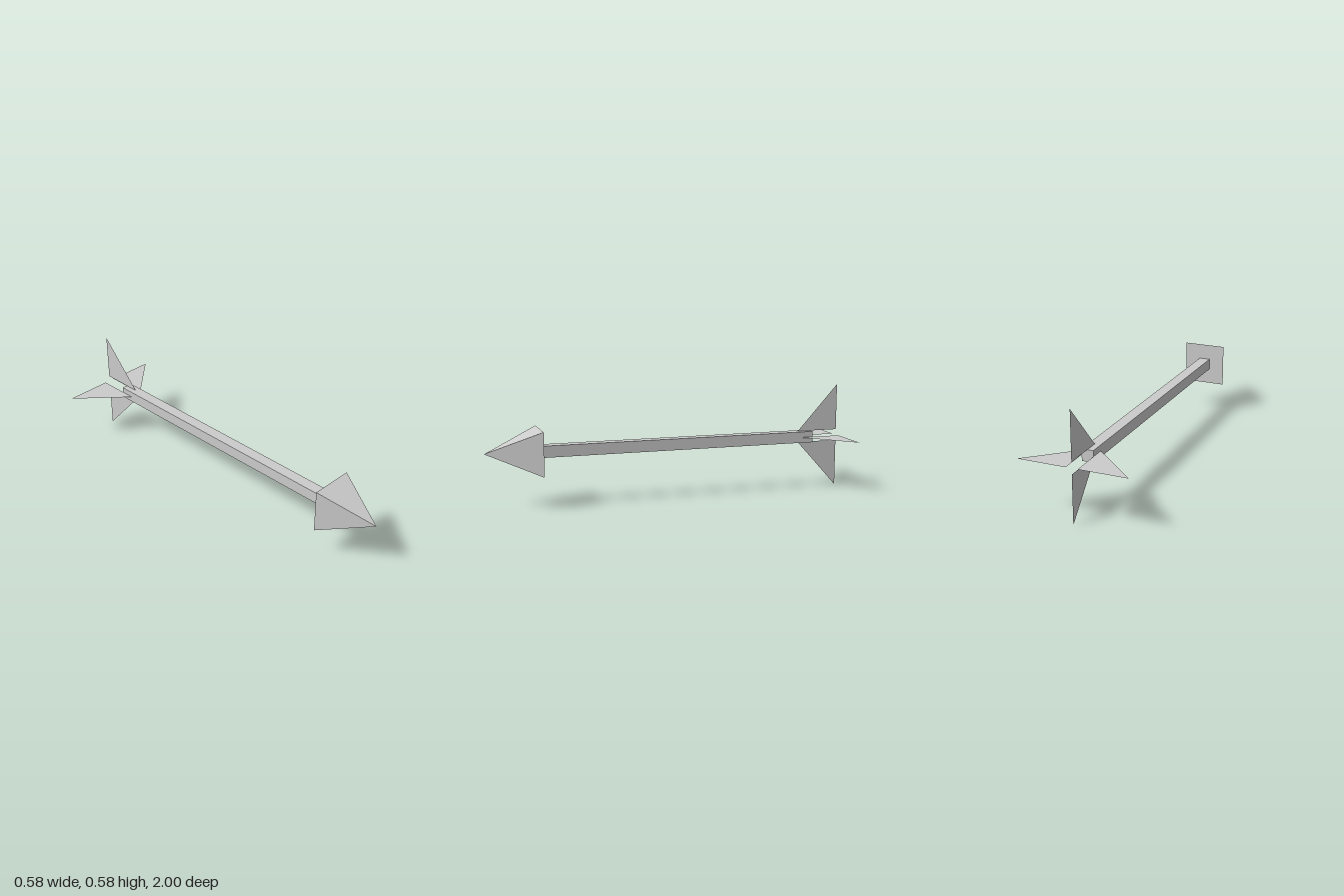
import * as THREE from 'three';

const AXIS_Y = 0.29;      // height of the shaft's centre line
const SHAFT_HALF = 0.031;
const HEAD_HALF = 0.118;

export function createModel() {
  const arrow = new THREE.Group();
  arrow.name = 'arrow';
  const solid = new THREE.MeshStandardMaterial({ color: 0xcccccc, flatShading: true });
  const thin = new THREE.MeshStandardMaterial({ color: 0xcccccc, flatShading: true, side: THREE.DoubleSide });

  const add = (name, geometry, material) => {
    const mesh = new THREE.Mesh(geometry, material);
    mesh.name = name;
    mesh.position.y = AXIS_Y;
    arrow.add(mesh);
    return mesh;
  };

  // Square shaft, ending short of the back of the fins
  const back = -0.84, neck = 0.71;
  add('shaft', new THREE.BoxGeometry(SHAFT_HALF * 2, SHAFT_HALF * 2, neck - back)
    .translate(0, 0, (neck + back) / 2), solid);

  // Four-sided pyramid head pointing forward
  const headLength = 1 - neck;
  add('head', new THREE.ConeGeometry(HEAD_HALF * Math.SQRT2, headLength, 4)
    .rotateY(Math.PI / 4)
    .rotateX(Math.PI / 2)
    .translate(0, 0, neck + headLength / 2), solid);

  // Flat triangular fins, one on each side of the shaft
  const outline = new THREE.Shape([
    new THREE.Vector2(SHAFT_HALF, 0.762),
    new THREE.Vector2(SHAFT_HALF, 1),
    new THREE.Vector2(0.29, 1),
  ]);
  const fin = new THREE.ShapeGeometry(outline).rotateX(-Math.PI / 2);
  ['finLeft', 'finTop', 'finRight', 'finBottom'].forEach((name, i) => {
    add(name, fin, thin).rotation.z = i * Math.PI / 2;
  });

  return arrow;
}
